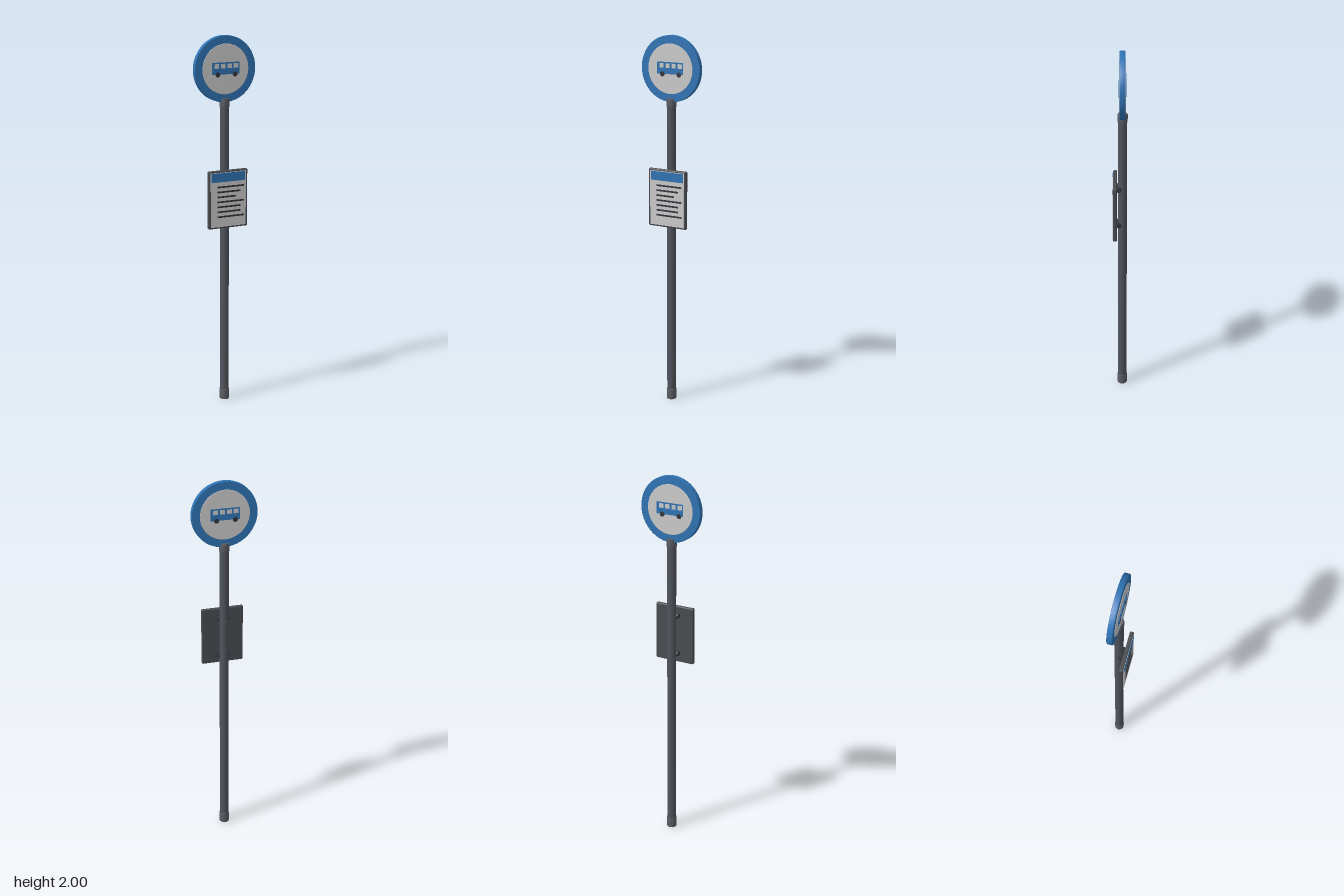
import * as THREE from 'three';
import { RoundedBoxGeometry } from 'three/addons/geometries/RoundedBoxGeometry.js';

const mat = (color) => new THREE.MeshStandardMaterial({ color });
const STEEL = mat(0x50545c), COLLAR = mat(0x5a5d64), FRAME = mat(0x4a4b50), DARK = mat(0x33353b);
const BLUE = mat(0x2f74b5), WHITE = mat(0xdcdcdc);
const POLE_Z = -0.014, SIGN_Y = 1.827;

function add(parent, name, geometry, material, x = 0, y = 0, z = 0) {
  const mesh = new THREE.Mesh(geometry, material);
  mesh.name = name;
  mesh.position.set(x, y, z);
  parent.add(mesh);
  return mesh;
}

// Closed solid of revolution around y, from [radius, height] pairs
const lathe = (points, segments) =>
  new THREE.LatheGeometry(points.map(([r, y]) => new THREE.Vector2(r, y)), segments);

// Round plate facing z with a softly rounded rim
function plate(radius, half, rim) {
  const edge = half - rim;
  return lathe([[0, -half], [radius - rim, -half], [radius, -edge],
    [radius, edge], [radius - rim, half], [0, half]], 48).rotateX(Math.PI / 2);
}

// Bevelled sleeve around the pole
function sleeve(radius, height, bevel) {
  return lathe([[0, 0], [radius - bevel, 0], [radius, bevel],
    [radius, height - bevel], [radius - bevel, height], [0, height]], 20);
}

// Side silhouette of a bus with four window openings
function busShape() {
  const rect = (path, x0, y0, x1, y1) =>
    path.moveTo(x0, y0).lineTo(x1, y0).lineTo(x1, y1).lineTo(x0, y1).closePath();
  const shape = new THREE.Shape();
  rect(shape, -0.077, -0.027, 0.077, 0.035);
  for (let i = 0; i < 4; i++) {
    const hole = new THREE.Path();
    const x = -0.064 + i * 0.036;
    rect(hole, x, 0.004, x + 0.027, 0.028);
    shape.holes.push(hole);
  }
  return shape;
}

export function createModel() {
  const model = new THREE.Group();
  model.name = 'busStop';

  // Pole with bottom and top sleeves
  add(model, 'pole', new THREE.CylinderGeometry(0.024, 0.024, 1.66, 20), STEEL, 0, 0.83, POLE_Z);
  add(model, 'footSleeve', sleeve(0.0265, 0.06, 0.003), COLLAR, 0, 0, POLE_Z);
  add(model, 'topSleeve', sleeve(0.0265, 0.05, 0.004), COLLAR, 0, 1.625, POLE_Z);

  // Round sign, the same on both faces
  const sign = new THREE.Group();
  sign.name = 'roundSign';
  sign.position.set(0, SIGN_Y, POLE_Z);
  model.add(sign);
  add(sign, 'signRim', plate(0.173, 0.0145, 0.003), BLUE);
  add(sign, 'signFace', plate(0.131, 0.0168, 0.0015), WHITE);
  const busGeometry = new THREE.ExtrudeGeometry(busShape(), { depth: 0.0035, bevelEnabled: false });
  const wheelGeometry = new THREE.CylinderGeometry(0.013, 0.013, 0.004, 20).rotateX(Math.PI / 2);
  for (const side of [0, 1]) {
    const bus = new THREE.Group();
    bus.name = side ? 'backBus' : 'frontBus';
    bus.rotation.y = side * Math.PI;
    sign.add(bus);
    add(bus, 'busBody', busGeometry, BLUE, 0, 0, 0.0155);
    for (const x of [-0.045, 0.053]) add(bus, 'wheel', wheelGeometry, DARK, x, -0.028, 0.0178);
  }

  // Timetable board
  const board = new THREE.Group();
  board.name = 'timetable';
  board.position.set(0, 1.144, 0.025);
  model.add(board);
  add(board, 'boardFrame', new RoundedBoxGeometry(0.226, 0.312, 0.021, 2, 0.006), FRAME);
  add(board, 'paper', new THREE.BoxGeometry(0.204, 0.294, 0.004), WHITE, 0, 0, 0.01);
  add(board, 'header', new THREE.BoxGeometry(0.194, 0.048, 0.004), BLUE, 0, 0.12, 0.0115);
  [0.153, 0.132, 0.106, 0.153, 0.132, 0.132, 0.153].forEach((w, i) =>
    add(board, 'timetableRow', new THREE.BoxGeometry(w, 0.009, 0.004), DARK,
      -0.063 + w / 2, 0.069 - i * 0.0268, 0.0115));

  // Clamps holding the board to the pole
  const clampGeometry = new THREE.CylinderGeometry(0.013, 0.013, 0.066, 12).rotateZ(Math.PI / 2);
  for (const y of [1.038, 1.25]) add(model, 'clamp', clampGeometry, DARK, 0, y, 0.004);

  return model;
}
